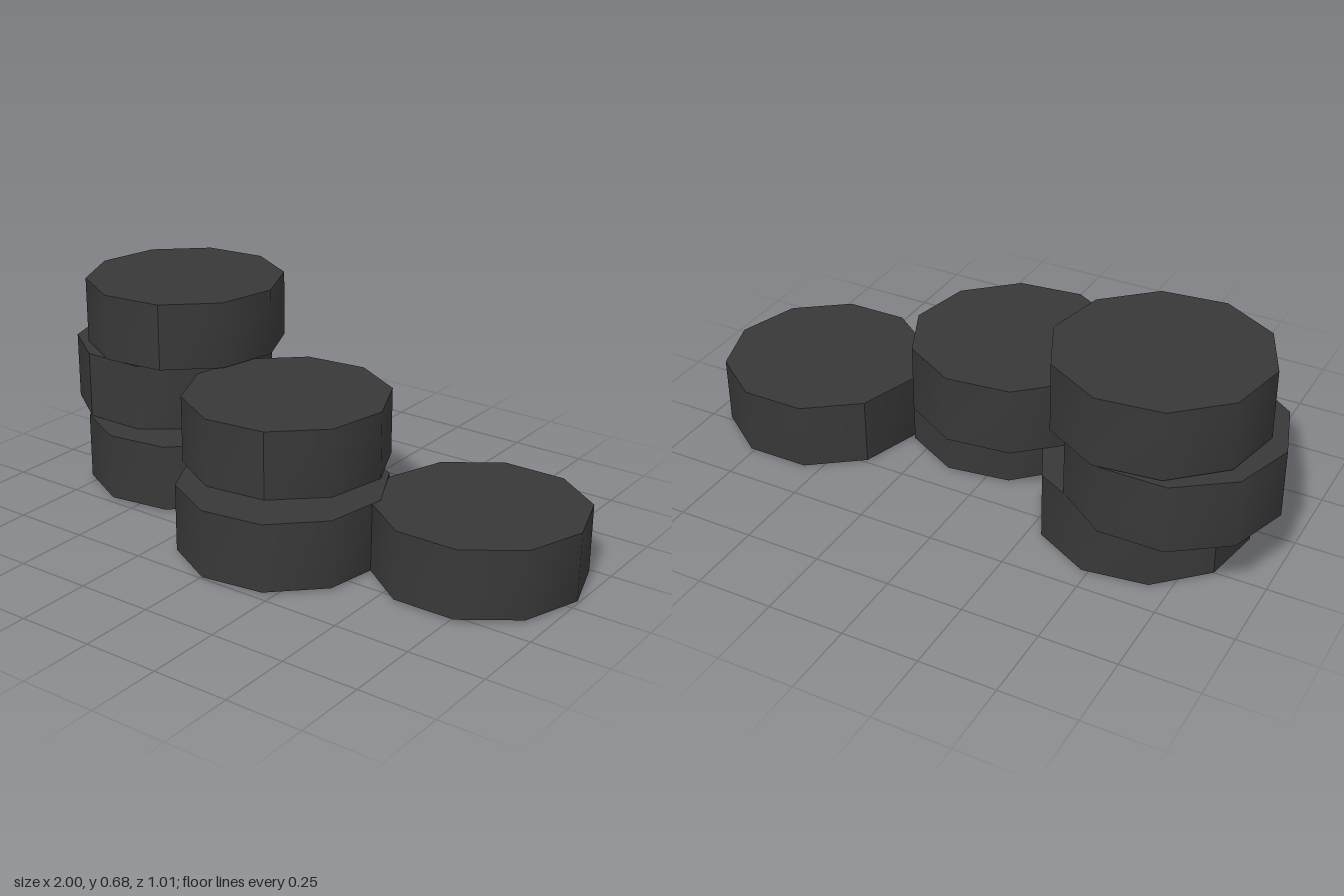
import * as THREE from 'three';

const RADIUS = 0.336, HEIGHT = 0.223, SIDES = 10;

// Ten-sided puck with smooth walls and one hard seam; open ones have no underside
function puckGeometry(seamDegrees, open) {
  const geometry = new THREE.CylinderGeometry(RADIUS, RADIUS, HEIGHT, SIDES, 1);
  if (open) {
    const index = Array.from(geometry.index.array);
    geometry.setIndex(index.slice(0, -3 * SIDES));
    geometry.clearGroups();
  }
  geometry.computeVertexNormals();
  geometry.rotateY(THREE.MathUtils.degToRad(seamDegrees));
  return geometry;
}

export function createModel() {
  const group = new THREE.Group();
  group.name = 'puckPile';
  const rubber = new THREE.MeshStandardMaterial({ color: 0x383838, side: THREE.DoubleSide });
  rubber.name = 'blackRubber';

  // seam is the heading of the hard edge, measured from +z towards +x
  const pucks = [
    { name: 'tallStackBottomPuck', x: -0.54, y: 0.121, z: -0.1, seam: -118, open: true },
    { name: 'tallStackMiddlePuck', x: -0.665, y: 0.3445, z: -0.185, seam: -18, open: true },
    { name: 'tallStackTopPuck', x: -0.605, y: 0.5715, z: -0.18, seam: 24.5, open: true },
    { name: 'shortStackBottomPuck', x: 0.07, y: 0.121, z: 0.172, seam: 134, open: true },
    { name: 'shortStackTopPuck', x: -0.02, y: 0.3445, z: 0.028, seam: 24.5, open: false },
    { name: 'loosePuck', x: 0.66, y: 0.118, z: -0.042, seam: -126, open: false, tilt: -0.012 },
  ];

  for (const { name, x, y, z, seam, open, tilt = 0 } of pucks) {
    const puck = new THREE.Mesh(puckGeometry(seam, open), rubber);
    puck.name = name;
    puck.position.set(x, y, z);
    puck.rotation.x = tilt;
    group.add(puck);
  }
  return group;
}
